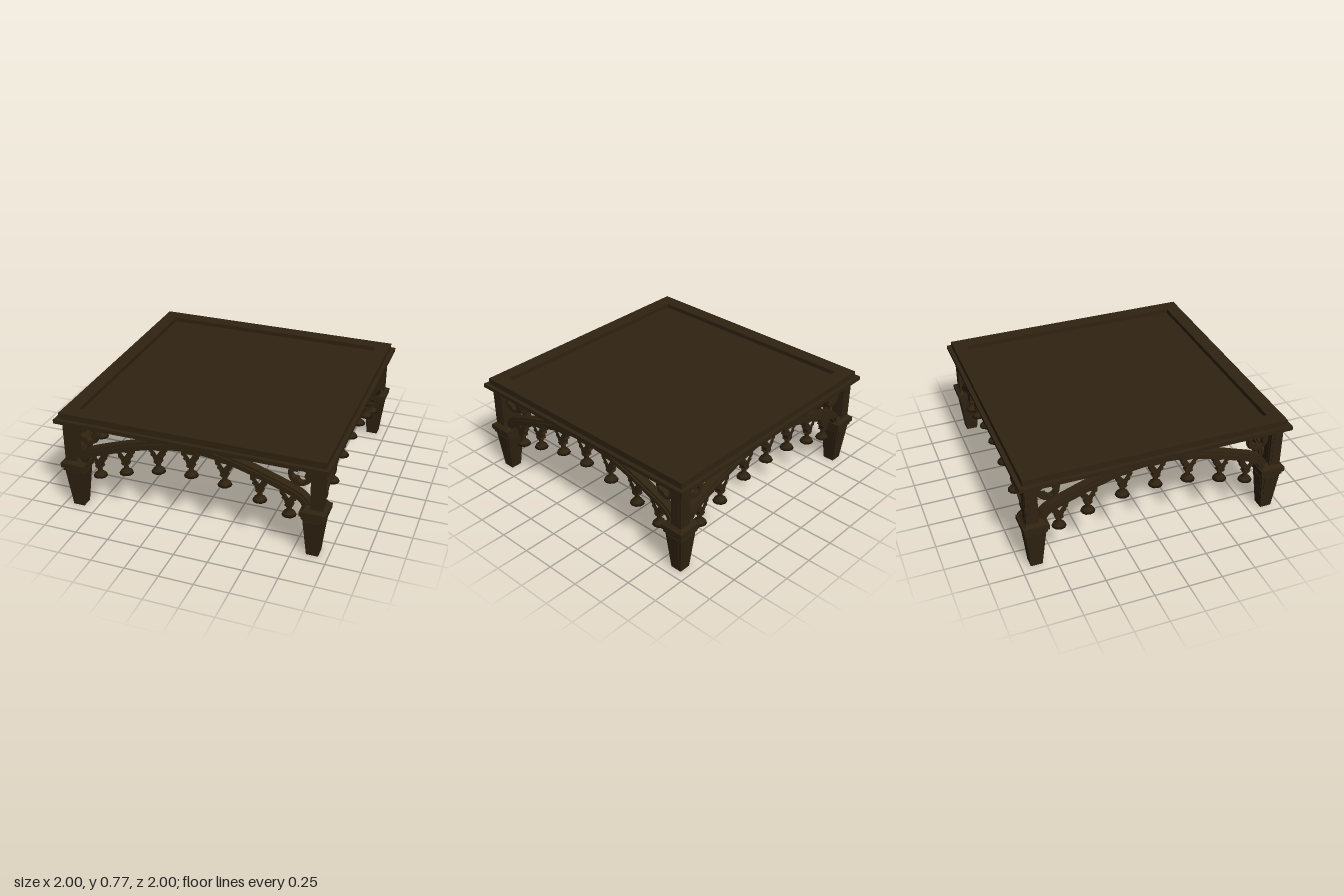
import * as THREE from 'three';

const wood = new THREE.MeshStandardMaterial({ color: 0x302311 });
wood.name = 'darkWood';
const under = new THREE.MeshStandardMaterial({ color: 0x553b2b });
under.name = 'undersideStain';

function add(parent, geo, name, x = 0, y = 0, z = 0, mat = wood) {
  const m = new THREE.Mesh(geo, mat);
  m.name = name;
  m.position.set(x, y, z);
  parent.add(m);
  return m;
}

const box = (w, h, d) => new THREE.BoxGeometry(w, h, d);

// Extrusion centred on its own thickness
function slab(shape, depth, curveSegments = 12) {
  const g = new THREE.ExtrudeGeometry(shape, { depth, bevelEnabled: false, curveSegments });
  return g.translate(0, 0, -depth / 2);
}

// Box standing on y0 whose section changes from bottom to top
function taper(wx0, wz0, wx1, wz1, y0, y1) {
  const g = box(1, y1 - y0, 1).translate(0, (y0 + y1) / 2, 0);
  const p = g.attributes.position;
  for (let i = 0; i < p.count; i++) {
    const top = p.getY(i) > (y0 + y1) / 2;
    p.setX(i, p.getX(i) * (top ? wx1 : wx0));
    p.setZ(i, p.getZ(i) * (top ? wz1 : wz0));
  }
  g.computeVertexNormals();
  return g;
}

function square(Cls, h) {
  const s = new Cls();
  s.moveTo(-h, -h);
  s.lineTo(h, -h);
  s.lineTo(h, h);
  s.lineTo(-h, h);
  s.closePath();
  return s;
}

// Centre line of the arch, mirrored about x = 0
const half = [[0.84, 0.365], [0.828, 0.41], [0.79, 0.45], [0.72, 0.483], [0.6, 0.527],
  [0.42, 0.587], [0.2, 0.642]];
const archCurve = new THREE.CatmullRomCurve3([
  ...half.map(([x, y]) => new THREE.Vector3(-x, y, 0)),
  new THREE.Vector3(0, 0.658, 0),
  ...half.slice().reverse().map(([x, y]) => new THREE.Vector3(x, y, 0)),
]);

function archBand(halfWidth, depth) {
  const upper = [], lower = [], n = 56;
  for (let i = 0; i <= n; i++) {
    const p = archCurve.getPointAt(i / n), t = archCurve.getTangentAt(i / n);
    upper.push(new THREE.Vector2(p.x - t.y * halfWidth, p.y + t.x * halfWidth));
    lower.push(new THREE.Vector2(p.x + t.y * halfWidth, p.y - t.x * halfWidth));
  }
  return slab(new THREE.Shape([...lower, ...upper.reverse()]), depth);
}

// Ring pierced by a three-lobed opening
function rosetteGeometry() {
  const s = new THREE.Shape();
  s.absarc(0, 0, 0.078, 0, Math.PI * 2);
  const hole = new THREE.Path();
  const c = 0.029, r = 0.027;
  for (let k = 0; k < 3; k++) {
    const a = k * Math.PI * 2 / 3;
    hole.absarc(c * Math.cos(a), c * Math.sin(a), r, a - 1.9, a + 1.9, false);
  }
  hole.closePath();
  s.holes.push(hole);
  return slab(s, 0.045, 20);
}
const rosetteGeo = rosetteGeometry();
const rimGeo = new THREE.TorusGeometry(0.073, 0.014, 8, 28);

// Pierced bracket of a pendant, hanging from y = 0
function bracketGeometry() {
  const right = [[0.066, 0.01], [0.062, -0.035], [0.045, -0.045], [0.05, -0.065],
    [0.033, -0.075], [0.024, -0.105], [0.03, -0.118], [0.014, -0.13]];
  const pts = [...right, ...right.slice().reverse().map(([x, y]) => [-x, y])];
  const s = new THREE.Shape(pts.map(([x, y]) => new THREE.Vector2(x, y)));
  s.holes.push(new THREE.Path([[-0.024, -0.02], [0.024, -0.02], [0, -0.055]]
    .map(([x, y]) => new THREE.Vector2(x, y))));
  return slab(s, 0.045);
}
const bracketGeo = bracketGeometry();
const finialGeo = new THREE.LatheGeometry([[0, -0.222], [0.017, -0.212], [0.022, -0.2],
  [0.052, -0.198], [0.04, -0.178], [0.02, -0.165], [0.016, -0.135], [0.026, -0.125],
  [0.016, -0.112], [0, -0.105]].map(([x, y]) => new THREE.Vector2(x, y)), 10);

function pendant(x, y) {
  const g = new THREE.Group();
  g.name = 'pendant';
  add(g, bracketGeo, 'pendantBracket');
  add(g, finialGeo, 'pendantFinial');
  g.position.set(x, y, 0);
  return g;
}

// One side: arch, rosettes in the spandrels and seven pendants
function sidePanel(isBack) {
  const g = new THREE.Group();
  g.name = 'sidePanel';
  add(g, archBand(0.031, 0.06), 'arch');
  add(g, archBand(0.014, 0.085), 'archMoulding');
  for (const s of [-1, 1]) {
    const r = add(g, rosetteGeo, 'rosette', s * 0.78, 0.612, 0);
    r.rotation.z = isBack && s > 0 ? 0 : Math.PI;
    add(g, rimGeo, 'rosetteRim', s * 0.78, 0.612, 0);
  }
  for (const [x, y] of [[0, 0.63], [0.247, 0.61], [0.5, 0.543], [0.71, 0.475]]) {
    g.add(pendant(x, y));
    if (x) g.add(pendant(-x, y));
  }
  return g;
}

function leg(sx, sz) {
  const g = new THREE.Group();
  g.name = 'leg';
  add(g, taper(0.085, 0.085, 0.145, 0.145, 0, 0.315), 'foot');
  // Raised panels on the foot faces
  add(g, taper(0.091, 0.055, 0.151, 0.105, 0.025, 0.29), 'footPanel');
  add(g, taper(0.055, 0.091, 0.105, 0.151, 0.025, 0.29), 'footPanel');
  add(g, box(0.162, 0.028, 0.162), 'lowerCollar', 0, 0.321, 0);
  add(g, box(0.185, 0.036, 0.185), 'collar', 0, 0.352, 0);
  add(g, taper(0.16, 0.16, 0.1, 0.1, 0.37, 0.405), 'collarSlope');
  add(g, box(0.088, 0.33, 0.088), 'post', -sx * -0.02, 0.54, sz * 0.02);
  add(g, box(0.094, 0.27, 0.05), 'postPanel', sx * 0.02, 0.55, sz * 0.02);
  add(g, box(0.05, 0.27, 0.094), 'postPanel', sx * 0.02, 0.55, sz * 0.02);
  g.position.set(sx * 0.891, 0, sz * 0.891);
  return g;
}

// Ragged rounded-square patch on the underside
function stainGeometry() {
  const pts = [], n = 72;
  for (let i = 0; i < n; i++) {
    const a = i / n * Math.PI * 2, c = Math.cos(a), s = Math.sin(a);
    const r = 0.78 / Math.pow(c ** 4 + s ** 4, 0.25)
      + 0.03 * Math.sin(5 * a + 1) + 0.02 * Math.sin(13 * a) + 0.01 * Math.sin(29 * a);
    pts.push(new THREE.Vector2(r * c, r * s));
  }
  return new THREE.ShapeGeometry(new THREE.Shape(pts)).rotateX(Math.PI / 2);
}

export function createModel() {
  const model = new THREE.Group();
  model.name = 'table';

  // Top: ledge, raised frame and sunken panel
  add(model, box(2, 0.029, 2), 'ledge', 0, 0.7155, 0);
  const frame = square(THREE.Shape, 0.97);
  frame.holes.push(square(THREE.Path, 0.862));
  add(model, slab(frame, 0.045).rotateX(-Math.PI / 2), 'topFrame', 0, 0.7525, 0);
  add(model, box(1.73, 0.015, 1.73), 'topPanel', 0, 0.7345, 0);
  add(model, stainGeometry(), 'undersidePatch', 0, 0.698, 0, under);

  for (const sx of [-1, 1]) for (const sz of [-1, 1]) model.add(leg(sx, sz));

  for (let i = 0; i < 4; i++) {
    const side = new THREE.Group();
    side.name = 'side';
    const panel = sidePanel(i === 2);
    panel.position.z = 0.9;
    side.add(panel);
    side.rotation.y = i * Math.PI / 2;
    model.add(side);
  }
  return model;
}
